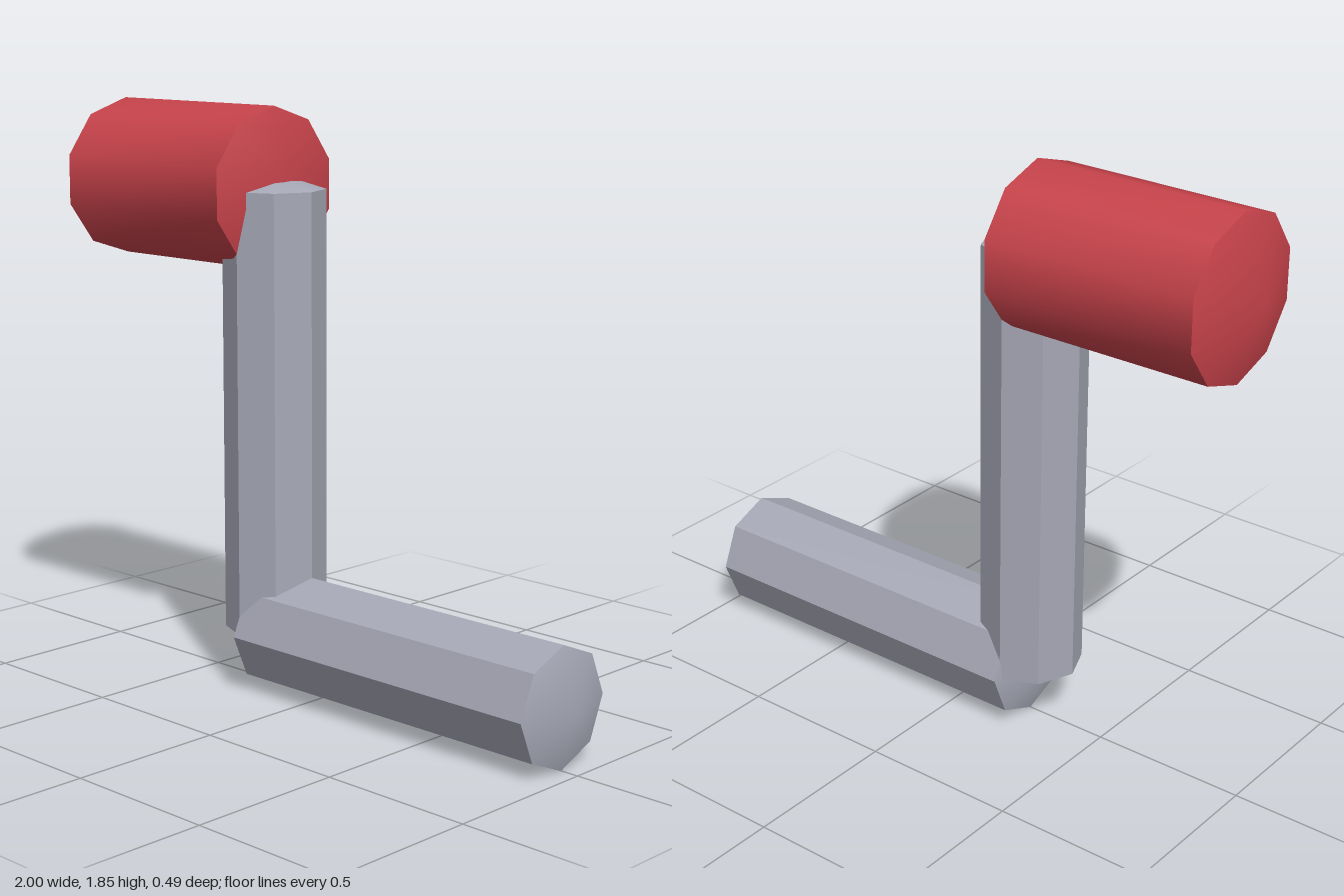
import * as THREE from 'three';
import { toCreasedNormals } from 'three/addons/utils/BufferGeometryUtils.js';

// Prism along +y from 0 to length, closed by shallow cones
function taperedBar(radius, length, sides) {
  const tip = radius * 0.312;
  const profile = [
    new THREE.Vector2(0, -tip),
    new THREE.Vector2(radius, 0),
    new THREE.Vector2(radius, length),
    new THREE.Vector2(0, length + tip),
  ];
  const geometry = new THREE.LatheGeometry(profile, sides, Math.PI / 2);
  // Rounds the ten-sided grip, keeps the eight-sided bars faceted
  return toCreasedNormals(geometry, THREE.MathUtils.degToRad(40));
}

export function createModel() {
  const group = new THREE.Group();
  group.name = 'crank';

  const steel = new THREE.MeshStandardMaterial({ color: 0xa6a8b6 });
  steel.name = 'steel grey';
  const red = new THREE.MeshStandardMaterial({ color: 0xc8434b });
  red.name = 'grip red';

  const add = (name, geometry, material, x, y, tilt) => {
    const mesh = new THREE.Mesh(geometry, material);
    mesh.name = name;
    mesh.position.set(x, y, 0);
    mesh.rotation.z = tilt;
    group.add(mesh);
  };

  const armX = -0.224;
  const axleY = 0.188;
  const gripY = 1.59;

  // Axle towards +x, upright arm, grip towards -x
  add('axle', taperedBar(0.188, 1.165, 8), steel, armX, axleY, -Math.PI / 2);
  add('arm', taperedBar(0.162, gripY - axleY, 8), steel, armX, axleY, 0);
  add('grip', taperedBar(0.255, 0.697, 10), red, armX, gripY, Math.PI / 2);

  return group;
}
